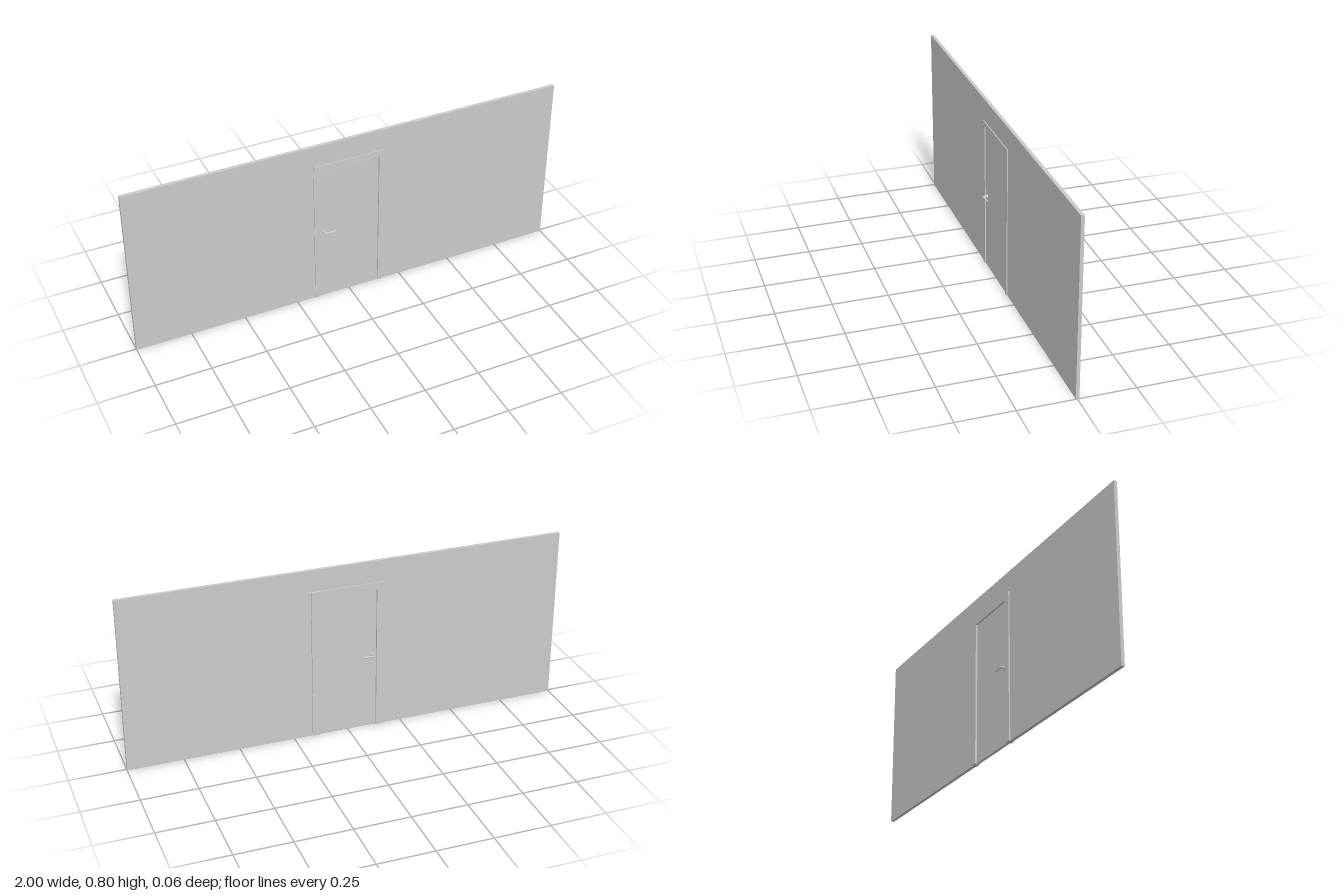
import * as THREE from 'three';

const grey = new THREE.MeshStandardMaterial({ color: 0xcccccc });

// Arch outline standing on the floor: outer rectangle with a doorway cut out from below
function archShape(outerX, outerY, innerX, innerY) {
  return new THREE.Shape([
    [-outerX, 0], [-innerX, 0], [-innerX, innerY], [innerX, innerY],
    [innerX, 0], [outerX, 0], [outerX, outerY], [-outerX, outerY],
  ].map(([x, y]) => new THREE.Vector2(x, y)));
}

// Arch extruded from zBack to zFront
function arch(name, outerX, outerY, innerX, innerY, zBack, zFront) {
  const geo = new THREE.ExtrudeGeometry(archShape(outerX, outerY, innerX, innerY),
    { depth: zFront - zBack, bevelEnabled: false });
  geo.translate(0, 0, zBack);
  const mesh = new THREE.Mesh(geo, grey);
  mesh.name = name;
  return mesh;
}

// Round part whose axis runs along z
function disc(name, rBack, rFront, zBack, zFront) {
  const geo = new THREE.CylinderGeometry(rFront, rBack, zFront - zBack, 24);
  geo.rotateX(Math.PI / 2);
  geo.translate(0, 0, (zBack + zFront) / 2);
  const mesh = new THREE.Mesh(geo, grey);
  mesh.name = name;
  return mesh;
}

// Lever handle on one face of the door; side is +1 for front, -1 for back
function createHandle(side) {
  const handle = new THREE.Group();
  handle.name = side > 0 ? 'frontHandle' : 'backHandle';
  handle.add(disc('rosette', 0.0105, 0.0095, 0.006, 0.0115));
  handle.add(disc('neck', 0.0048, 0.0042, 0.0115, 0.025));

  // Gently curved lever with rounded ends
  const path = new THREE.CatmullRomCurve3([
    new THREE.Vector3(0, 0, 0.0246),
    new THREE.Vector3(0.012, 0.001, 0.0246),
    new THREE.Vector3(0.03, 0.0005, 0.0242),
    new THREE.Vector3(0.046, 0, 0.0225),
  ]);
  const lever = new THREE.Mesh(new THREE.TubeGeometry(path, 20, 0.004, 12), grey);
  lever.name = 'lever';
  handle.add(lever);
  for (const t of [0, 1]) {
    const end = new THREE.Mesh(new THREE.SphereGeometry(0.004, 12, 8), grey);
    end.name = 'leverEnd';
    end.position.copy(path.getPoint(t));
    handle.add(end);
  }
  handle.position.set(-0.118, 0.351, 0);
  if (side < 0) {
    // Turn to the back face, then mirror so the lever still points to the hinges
    handle.rotation.y = Math.PI;
    handle.scale.x = -1;
  }
  return handle;
}

export function createModel() {
  const model = new THREE.Group();
  model.name = 'wallWithDoor';

  // Wall with doorway
  model.add(arch('wall', 1, 0.8, 0.155, 0.688, -0.0085, 0.0065));

  // Rebated frame: wide opening holds the leaf, narrow opening acts as the stop
  model.add(arch('doorFrame', 0.165, 0.7, 0.142, 0.677, -0.0065, 0.0105));
  model.add(arch('doorStop', 0.165, 0.7, 0.133, 0.667, -0.0148, -0.0065));

  // Door leaf, leaving a thin gap around the edge
  const leaf = new THREE.Mesh(new THREE.BoxGeometry(0.281, 0.672, 0.013), grey);
  leaf.name = 'doorLeaf';
  leaf.position.set(0, 0.337, 0);
  model.add(leaf);

  for (const side of [1, -1]) model.add(createHandle(side));
  return model;
}
